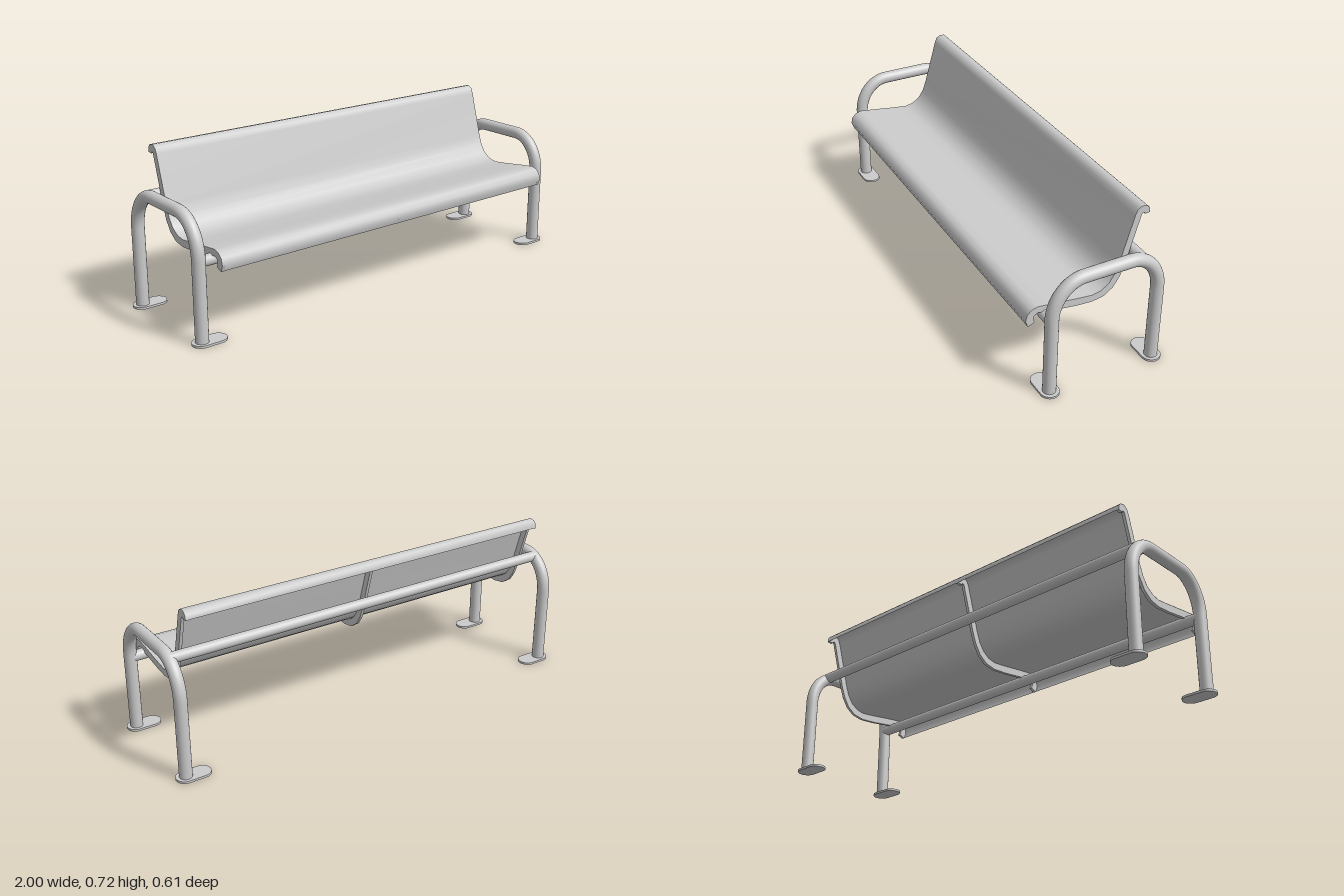
import * as THREE from 'three';

const material = new THREE.MeshStandardMaterial({ color: 0xcccccc });
const sheetMaterial = new THREE.MeshStandardMaterial({ color: 0xcccccc, side: THREE.DoubleSide });

// Side profile as [z, y]: upper line runs from the front lip to the top hook, lower line runs back
const upper = [
  [0.294, 0.316], [0.304, 0.344], [0.298, 0.371], [0.279, 0.39], [0.252, 0.398], [0.184, 0.39],
  [0.078, 0.375], [0.006, 0.367], [-0.034, 0.375], [-0.069, 0.398], [-0.094, 0.434], [-0.111, 0.48],
  [-0.17, 0.685], [-0.18, 0.709], [-0.2, 0.721], [-0.222, 0.717], [-0.235, 0.704], [-0.237, 0.683],
];
const lower = [
  [-0.216, 0.68], [-0.212, 0.688], [-0.203, 0.688], [-0.199, 0.679], [-0.14, 0.474], [-0.119, 0.417],
  [-0.09, 0.373], [-0.048, 0.344], [0.006, 0.335], [0.078, 0.341], [0.193, 0.358], [0.249, 0.369],
  [0.266, 0.361], [0.27, 0.346], [0.264, 0.327],
];
const seatHalf = 0.9;
const legX = 0.957;
const frontZ = 0.222;
const backZ = -0.262;
const tubeRadius = 0.028;

function add(parent, name, geometry, mat = material) {
  const mesh = new THREE.Mesh(geometry, mat);
  mesh.name = name;
  parent.add(mesh);
  return mesh;
}

// Thin bent sheet: a plane whose rows follow the upper profile
function sheetGeometry() {
  const geometry = new THREE.PlaneGeometry(2 * seatHalf, 1, 1, upper.length - 1);
  const pos = geometry.attributes.position;
  for (let i = 0; i < pos.count; i++) {
    // reversed rows keep the front faces on the sitting side
    const [z, y] = upper[upper.length - 1 - Math.floor(i / 2)];
    pos.setXYZ(i, pos.getX(i), y, z);
  }
  geometry.computeVertexNormals();
  return geometry;
}

// Flat rib with the full profile, extruded along x
function ribGeometry(width) {
  const shape = new THREE.Shape([...upper, ...lower].map(([z, y]) => new THREE.Vector2(-z, y)));
  const geometry = new THREE.ExtrudeGeometry(shape, { depth: width, bevelEnabled: false });
  return geometry.translate(0, 0, -width / 2).rotateY(Math.PI / 2);
}

// Bent tube forming both legs and the armrest
function hoopGeometry() {
  const v = (z, y) => new THREE.Vector3(0, y, z);
  const rz = 0.137, spring = 0.36, top = 0.523, k = 0.5523;
  const handle = spring + (top - spring) * k;
  const path = new THREE.CurvePath();
  path.add(new THREE.LineCurve3(v(frontZ, 0.005), v(frontZ, spring)));
  path.add(new THREE.CubicBezierCurve3(v(frontZ, spring), v(frontZ, handle),
    v(frontZ - rz * (1 - k), top), v(frontZ - rz, top)));
  path.add(new THREE.LineCurve3(v(frontZ - rz, top), v(backZ + rz, top)));
  path.add(new THREE.CubicBezierCurve3(v(backZ + rz, top), v(backZ + rz * (1 - k), top),
    v(backZ, handle), v(backZ, spring)));
  path.add(new THREE.LineCurve3(v(backZ, spring), v(backZ, 0.005)));
  return new THREE.TubeGeometry(path, 72, tubeRadius, 24);
}

// Rounded-end floor plate lying flat, pointing inward from the leg
function footGeometry() {
  const r = 0.041, length = 0.073;
  const shape = new THREE.Shape();
  shape.absarc(0, 0, r, -Math.PI / 2, Math.PI / 2);
  shape.absarc(-length, 0, r, Math.PI / 2, Math.PI * 1.5);
  shape.closePath();
  return new THREE.ExtrudeGeometry(shape, { depth: 0.01, bevelEnabled: false, curveSegments: 16 })
    .rotateX(-Math.PI / 2);
}

export function createModel() {
  const bench = new THREE.Group();
  bench.name = 'bench';

  // Seat and backrest with three supporting ribs
  const seat = new THREE.Group();
  seat.name = 'seat';
  bench.add(seat);
  add(seat, 'seatSheet', sheetGeometry(), sheetMaterial);
  const ribWidth = 0.014;
  const ribShape = ribGeometry(ribWidth);
  for (const side of [-1, 0, 1]) {
    const rib = add(seat, 'seatRib', ribShape);
    rib.position.set(side * (seatHalf - ribWidth / 2), -0.001, 0);
  }

  // Long rails joining the two end frames
  const railShape = new THREE.CylinderGeometry(0.024, 0.024, 2 * legX, 24).rotateZ(Math.PI / 2);
  add(bench, 'frontRail', railShape).position.set(0, 0.347, 0.218);
  add(bench, 'backRail', railShape).position.set(0, 0.513, -0.183);

  // End frames with floor plates
  const hoopShape = hoopGeometry();
  const footShape = footGeometry();
  for (const side of [-1, 1]) {
    const frame = new THREE.Group();
    frame.name = side > 0 ? 'leftFrame' : 'rightFrame';
    bench.add(frame);
    add(frame, 'armrestHoop', hoopShape).position.x = side * legX;
    for (const z of [frontZ, backZ]) {
      const foot = add(frame, 'footPlate', footShape);
      foot.position.set(side * 0.959, 0, z);
      if (side < 0) foot.rotation.y = Math.PI;
    }
  }
  return bench;
}
